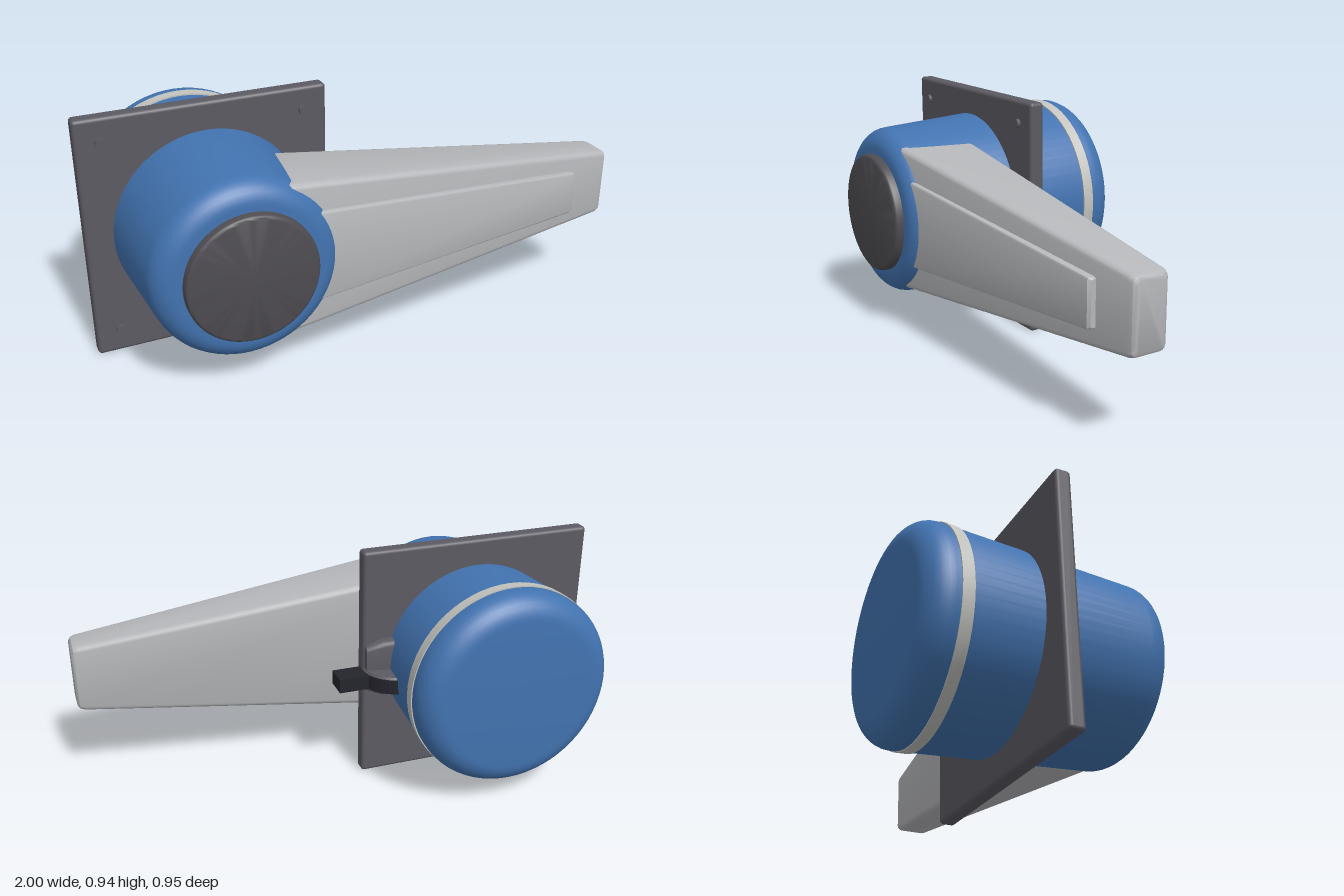
import * as THREE from 'three';
import { toCreasedNormals } from 'three/addons/utils/BufferGeometryUtils.js';
import { RoundedBoxGeometry } from 'three/addons/geometries/RoundedBoxGeometry.js';

const CX = -0.535, CY = 0.47;

// Turns a [radius, z] profile (back to front) around the housing axis.
function turned(profile, segments = 64) {
  const geo = new THREE.LatheGeometry(profile.map(([r, z]) => new THREE.Vector2(r, z)), segments);
  return toCreasedNormals(geo.rotateX(Math.PI / 2), 0.6);
}

// Quarter-round corner between two profile directions.
function corner(r, z, dr, dz, from, to, steps = 8) {
  return Array.from({ length: steps + 1 }, (_, i) => {
    const a = from + (to - from) * i / steps;
    return [r + dr * Math.cos(a), z + dz * Math.sin(a)];
  });
}

// Joins rounded rectangles [x, y0, y1, z0, z1, bevel] along x, closed at both ends.
function loft(sections) {
  const steps = 3, rings = sections.map(([x, y0, y1, z0, z1, b]) => {
    const pts = [];
    for (let q = 0; q < 4; q++) {
      const y = q === 0 || q === 3 ? y1 - b : y0 + b;
      const z = q < 2 ? z1 - b : z0 + b;
      for (let k = 0; k <= steps; k++) {
        const a = (q + k / steps) * Math.PI / 2;
        pts.push([x, y + b * Math.cos(a), z + b * Math.sin(a)]);
      }
    }
    return pts;
  });
  const pos = [], n = rings[0].length;
  const tri = (...p) => p.forEach(v => pos.push(...v));
  for (let s = 0; s < rings.length - 1; s++) {
    for (let i = 0; i < n; i++) {
      const j = (i + 1) % n, A = rings[s], B = rings[s + 1];
      tri(A[i], A[j], B[i]);
      tri(A[j], B[j], B[i]);
    }
  }
  const first = rings[0], last = rings[rings.length - 1];
  for (let i = 1; i < n - 1; i++) {
    tri(first[0], first[i + 1], first[i]);
    tri(last[0], last[i], last[i + 1]);
  }
  const geo = new THREE.BufferGeometry();
  geo.setAttribute('position', new THREE.Float32BufferAttribute(pos, 3));
  geo.computeVertexNormals();
  return toCreasedNormals(geo, 0.6);
}

export function createModel() {
  const group = new THREE.Group();
  const paint = (name, color) => Object.assign(new THREE.MeshStandardMaterial({ color }), { name });
  const blue = paint('blue', 0x4273b0);
  const lightGrey = paint('light grey', 0xb6b7ba);
  const ringGrey = paint('ring grey', 0xc2c2be);
  const darkGrey = paint('dark grey', 0x5c5a62);
  const capGrey = paint('cap grey', 0x4e4c51);
  const black = paint('black', 0x24242c);
  const add = (name, geo, mat, x = 0, y = 0, z = 0) => {
    const mesh = new THREE.Mesh(geo, mat);
    mesh.name = name;
    mesh.position.set(x, y, z);
    group.add(mesh);
    return mesh;
  };

  // Tapered round housing with soft ends
  add('housing', turned([
    [0, -0.475],
    ...corner(0.295, -0.385, 0.093, 0.09, -Math.PI / 2, 0),
    ...corner(0.26, 0.355, 0.081, 0.085, 0, Math.PI / 2),
    [0, 0.44],
  ]), blue, CX, CY);

  // Band near the back and cap on the front
  add('rearBand', turned([
    [0.37, -0.365], [0.391, -0.365], [0.389, -0.322], [0.37, -0.322],
  ]), ringGrey, CX, CY);
  add('frontCap', turned([
    [0.24, 0.42], ...corner(0.225, 0.46, 0.015, 0.015, 0, Math.PI / 2, 4), [0, 0.475],
  ]), capGrey, CX, CY);

  // Square mounting plate with four bolts
  add('mountingPlate', new RoundedBoxGeometry(0.933, 0.94, 0.06, 3, 0.014), darkGrey, CX + 0.001, CY, -0.035);
  for (const x of [-0.91, -0.16]) {
    for (const y of [0.095, 0.85]) {
      const bolt = new THREE.CylinderGeometry(0.018, 0.018, 0.02, 16).rotateX(Math.PI / 2);
      add('plateBolt', bolt, darkGrey, x, y, -0.002);
    }
  }

  // Tapered arm with a bevelled tip
  add('arm', loft([
    [-0.45, 0.17, 0.77, 0.095, 0.413, 0.022],
    [0.975, 0.336, 0.606, 0.183, 0.327, 0.022],
    [0.992, 0.342, 0.6, 0.189, 0.321, 0.02],
    [1, 0.354, 0.588, 0.2, 0.31, 0.014],
  ]), lightGrey);

  // Raised panel on the arm's front face
  add('armPanel', loft([
    [-0.35, 0.29, 0.65, 0.36, 0.422, 0.008],
    [0.82, 0.386, 0.558, 0.3, 0.362, 0.008],
    [0.83, 0.392, 0.552, 0.3, 0.354, 0.008],
  ]), lightGrey);

  // Side latch: upright lug, round turning disc and its tab
  add('latchLug', loft([
    [-0.22, 0.355, 0.585, -0.112, 0.045, 0.02],
    [-0.14, 0.355, 0.585, -0.108, 0.04, 0.02],
    [-0.075, 0.38, 0.56, -0.09, -0.03, 0.015],
  ]), darkGrey);
  add('latchDisc', new THREE.CylinderGeometry(0.14, 0.14, 0.056, 40), black, -0.2, 0.433, -0.065);
  add('latchDiscTop', new THREE.CylinderGeometry(0.128, 0.134, 0.009, 40), darkGrey, -0.2, 0.465, -0.065);
  add('latchTab', new THREE.BoxGeometry(0.15, 0.056, 0.09), black, -0.03, 0.433, -0.075);

  return group;
}
